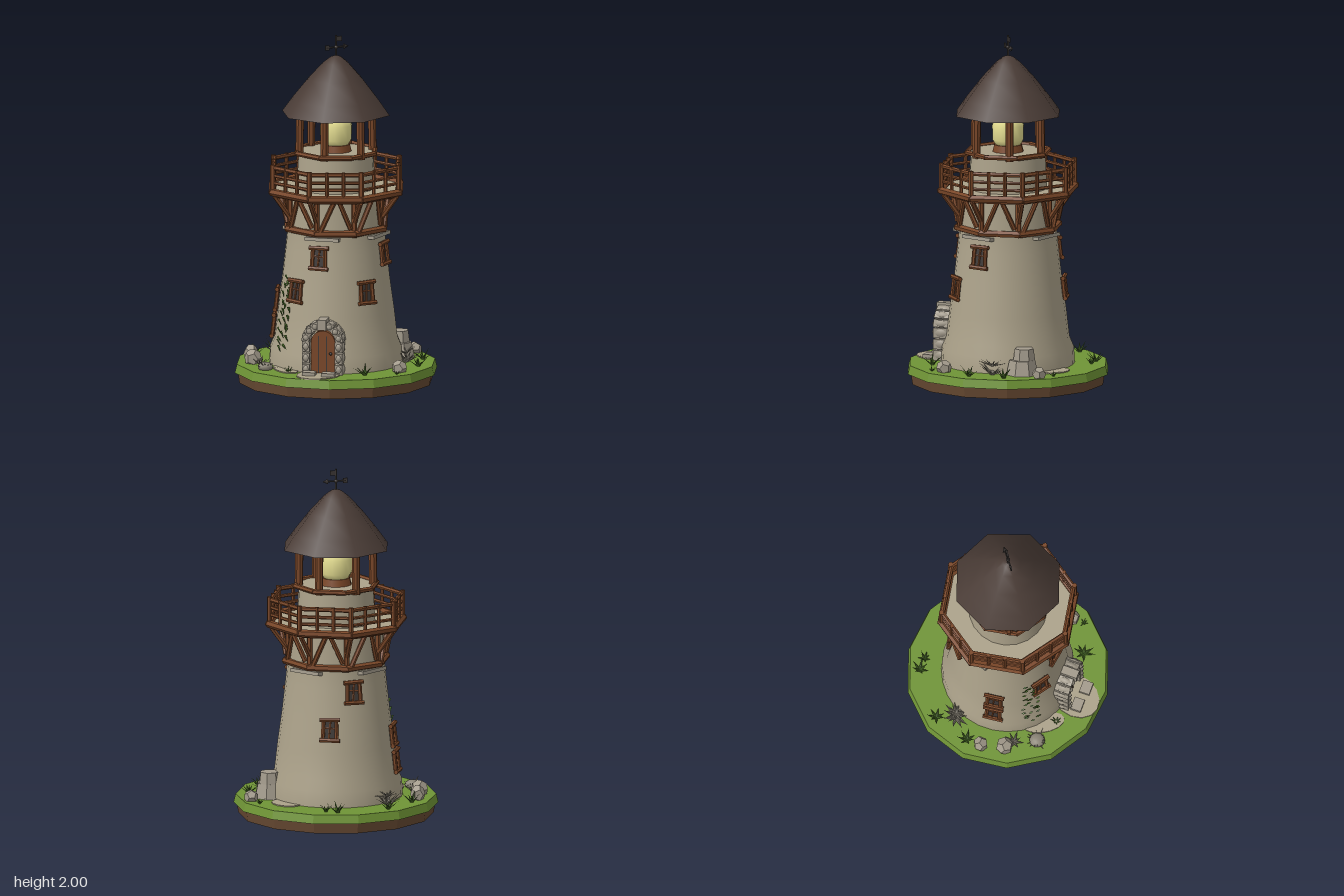
import * as THREE from 'three';

const mat = (name, color, extra = {}) => Object.assign(new THREE.MeshStandardMaterial({ color, ...extra }), { name });
const M = {
  stone: mat('plaster stone', 0xaca28a),
  rock: mat('rock', 0xa39b8c),
  wood: mat('timber', 0x7a4728),
  roof: mat('dark roof', 0x4a3c36),
  lamp: mat('lamp glow', 0xe6df92),
  earth: mat('earth', 0x684a32),
  grass: mat('grass', 0x6f9436),
  leaf: mat('leaf green', 0x4d7229, { side: THREE.DoubleSide }),
  dry: mat('dry plant', 0x8b8577, { side: THREE.DoubleSide }),
  metal: mat('dark metal', 0x3d3836),
};
const V = (x, y, z) => new THREE.Vector3(x, y, z);
const deg = THREE.MathUtils.degToRad;
// point at an angle (0 = front, 90 = +x), radius and height
const polar = (a, r, y) => V(Math.sin(deg(a)) * r, y, Math.cos(deg(a)) * r);

let seed = 7;
const rnd = () => (seed = (seed * 16807) % 2147483647) / 2147483647;

function add(parent, name, geo, material, pos = V(0, 0, 0)) {
  const m = new THREE.Mesh(geo, material);
  m.name = name;
  m.position.copy(pos);
  parent.add(m);
  return m;
}
function group(parent, name) {
  const g = new THREE.Group();
  g.name = name;
  parent.add(g);
  return g;
}
const flat = (geo) => { const g = geo.toNonIndexed(); g.computeVertexNormals(); return g; };
// log-like beam between two points
function beam(parent, name, a, b, r, material = M.wood, sides = 6) {
  const m = add(parent, name, flat(new THREE.CylinderGeometry(r, r, a.distanceTo(b), sides)), material, a.clone().lerp(b, 0.5));
  m.quaternion.setFromUnitVectors(V(0, 1, 0), b.clone().sub(a).normalize());
  return m;
}
// octagonal ring of beams
function ring(parent, name, r, y, t) {
  const g = group(parent, name);
  for (let i = 0; i < 8; i++) beam(g, name + 'Beam', polar(i * 45 - 1.5, r, y), polar(i * 45 + 46.5, r, y), t);
}
const lathe = (pts, n) => new THREE.LatheGeometry(pts.map(([x, y]) => new THREE.Vector2(x, y)), n);

const WALL = [[0.38, 0.1], [0.375, 0.2], [0.35, 0.26], [0.332, 0.42], [0.307, 0.6], [0.287, 0.78], [0.275, 0.9], [0.272, 1.1]];
function wallRadius(y) {
  const i = Math.max(1, WALL.findIndex((p) => p[1] >= y));
  const [a, b] = [WALL[i - 1], WALL[i]];
  return a[0] + (b[0] - a[0]) * (y - a[1]) / (b[1] - a[1]);
}
// group standing on the wall, its +z pointing outwards
function onWall(parent, name, a, y, r = wallRadius(y), tilt = -0.11) {
  const g = group(parent, name);
  g.rotation.order = 'YXZ';
  g.rotation.set(tilt, deg(a), 0);
  g.position.copy(polar(a, r, y));
  return g;
}

function buildWindow(parent, a, y) {
  const g = onWall(parent, 'window', a, y);
  add(g, 'windowPane', new THREE.BoxGeometry(0.08, 0.11, 0.008), M.metal, V(0, 0, 0.002));
  for (const s of [-1, 1]) {
    beam(g, 'windowJamb', V(s * 0.04, -0.062, 0.01), V(s * 0.036, 0.062, 0.01), 0.012);
    beam(g, 'windowLintel', V(-0.058, s * 0.058, 0.014), V(0.058, s * 0.06, 0.014), 0.013);
  }
  beam(g, 'windowBar', V(-0.006, -0.06, 0.008), V(0.004, 0.06, 0.008), 0.006);
  beam(g, 'windowBar', V(-0.04, 0.012, 0.008), V(0.04, 0.008, 0.008), 0.005);
}

function buildDoor(parent) {
  const g = onWall(parent, 'doorway', -33, 0.11, 0.345, 0);
  const s = new THREE.Shape();
  s.moveTo(-0.07, 0).lineTo(0.07, 0).lineTo(0.07, 0.18).absarc(0, 0.18, 0.07, 0, Math.PI).lineTo(-0.07, 0);
  add(g, 'door', new THREE.ExtrudeGeometry(s, { depth: 0.06, bevelEnabled: false, curveSegments: 8 }), M.wood, V(0, 0, -0.02));
  for (const x of [-0.025, 0.022]) add(g, 'doorGroove', new THREE.BoxGeometry(0.004, 0.22, 0.004), M.metal, V(x, 0.11, 0.041));
  add(g, 'doorHandle', new THREE.SphereGeometry(0.009, 8, 6), M.metal, V(0.046, 0.12, 0.045));
  const block = (x, y, rot, h) => {
    const b = add(g, 'archStone', new THREE.SphereGeometry(0.5, 8, 6), M.rock, V(x, y, 0.02));
    b.scale.set(0.06, h, 0.12);
    b.rotation.z = rot;
    const c = add(g, 'archStoneCore', new THREE.BoxGeometry(0.044, h * 0.8, 0.09), M.rock, b.position);
    c.rotation.z = rot;
  };
  for (const x of [-0.095, 0.095]) for (let i = 0; i < 3; i++) block(x, 0.03 + i * 0.065, 0, 0.072);
  for (let i = 0; i < 7; i++) {
    const t = Math.PI * (i + 0.5) / 7;
    block(Math.cos(t) * 0.097, 0.19 + Math.sin(t) * 0.097, t, 0.056);
  }
  add(g, 'keystone', new THREE.BoxGeometry(0.05, 0.06, 0.11), M.rock, V(0, 0.29, 0.025));
}

// tuft of pointed blades; lean 0 = upright, 90 = lying flat
function tuft(parent, name, x, z, n, len, lean, material, y = 0.108) {
  const g = group(parent, name);
  g.position.set(x, y, z);
  for (let i = 0; i < n; i++) {
    const l = len * (0.75 + 0.4 * rnd());
    const geo = new THREE.ConeGeometry(len * 0.14, l, 4).translate(0, l / 2, 0).scale(1, 1, 0.35);
    const b = add(g, name + 'Blade', geo, material);
    b.rotation.order = 'YXZ';
    b.rotation.set(deg(lean * (0.7 + 0.5 * rnd())), (i + 0.4 * rnd()) / n * Math.PI * 2, 0);
  }
  return g;
}
function rock(parent, x, z, r, h, y = 0.1) {
  const m = add(parent, 'boulder', new THREE.DodecahedronGeometry(1), M.rock, V(x, y + h * 0.45, z));
  m.scale.set(r, h * 0.6, r);
  m.rotation.y = x * 9;
}
// flat rounded patch on the ground
function patch(parent, x, z, rx, rz, rot) {
  const m = add(parent, 'bareGround', new THREE.CylinderGeometry(1, 1, 0.008, 14), M.stone, V(x, 0.112, z));
  m.scale.set(rx, 1, rz);
  m.rotation.y = deg(rot);
}

function buildGround(root) {
  const g = group(root, 'ground');
  add(g, 'earthBase', flat(new THREE.CylinderGeometry(0.565, 0.555, 0.065, 14)), M.earth, V(0, 0.0325, 0));
  add(g, 'grassDisc', flat(new THREE.CylinderGeometry(0.57, 0.582, 0.05, 14)), M.grass, V(0, 0.085, 0));
  patch(g, -0.24, 0.34, 0.15, 0.12, 35);
  patch(g, -0.36, 0.13, 0.06, 0.12, 0);
  patch(g, 0.33, -0.19, 0.08, 0.1, 20);
  for (const [x, z] of [[-0.3, 0.34], [-0.21, 0.41]]) {
    const p = add(g, 'pavingStone', new THREE.BoxGeometry(0.075, 0.025, 0.06), M.rock, V(x, 0.122, z));
    p.rotation.y = -0.55;
  }
  for (const [x, z, r, h] of [[0.51, -0.07, 0.042, 0.07], [0.22, 0.42, 0.045, 0.075], [-0.42, -0.25, 0.043, 0.09],
    [-0.46, -0.12, 0.05, 0.09]]) rock(g, x, z, r, h);
  // stepped stone block against the wall
  add(g, 'stoneBlock', flat(new THREE.CylinderGeometry(0.075, 0.095, 0.09, 7)), M.rock, V(0.385, 0.15, 0));
  add(g, 'stoneBlockTop', flat(new THREE.CylinderGeometry(0.055, 0.065, 0.08, 7)), M.rock, V(0.39, 0.22, -0.01));
  for (const [x, z, s] of [[-0.2, -0.46, 1], [0.1, -0.49, 1], [0.16, -0.45, 0.8], [-0.37, -0.32, 1], [0.48, 0.13, 1],
    [0.38, 0.31, 1], [0, 0.44, 1.1], [0.48, -0.16, 0.6], [-0.37, 0.2, 0.6], [0.18, 0.48, 0.5]])
    tuft(g, 'grassTuft', x, z, 7, 0.075 * s, 48, M.leaf);
  tuft(g, 'dryRosette', -0.46, 0.07, 14, 0.08, 65, M.dry);
  add(g, 'rosetteHeart', new THREE.SphereGeometry(0.045, 10, 6).scale(1, 0.6, 1), M.dry, V(-0.46, 0.125, 0.07));
  tuft(g, 'dryTuft', -0.44, -0.06, 8, 0.07, 50, M.dry);
  for (const [x, z] of [[0.36, 0.17], [-0.22, -0.35]]) {
    tuft(g, 'dryBush', x, z, 12, 0.1, 55, M.dry);
    tuft(g, 'dryBush', x, z, 9, 0.075, 75, M.dry, 0.16);
  }
}

function buildTower(root) {
  const g = group(root, 'tower');
  add(g, 'towerWall', lathe(WALL, 28), M.stone);
  for (const [a, y] of [[45, 0.76], [-41, 0.76], [11, 0.56], [-67, 0.56], [161, 0.55], [187, 0.76], [-116, 0.47], [-116, 0.32]])
    buildWindow(g, a, y);
  buildDoor(g);
  for (const a of [-38, 40, 130, 215]) {
    const l = onWall(g, 'ledge', a, 0.868);
    add(l, 'ledgeStone', new THREE.BoxGeometry(0.2, 0.02, 0.04), M.rock);
  }
  // climbing vine beside the door
  for (let i = 0; i < 26; i++) {
    const y = 0.22 + i * 0.016;
    const v = onWall(g, 'vineLeaf', -80 + 7 * Math.sin(i * 1.9), y, wallRadius(y) + 0.012, 0.3);
    const leaf = add(v, 'vineLeafBlade', new THREE.ConeGeometry(0.014, 0.045, 4).scale(1, 1, 0.4), M.leaf);
    leaf.rotation.z = Math.PI + 1.6 * (rnd() - 0.5);
  }
}

function buildGallery(root) {
  const g = group(root, 'gallery');
  ring(g, 'lowerRing', 0.298, 0.9, 0.02);
  add(g, 'deck', flat(new THREE.CylinderGeometry(0.385, 0.375, 0.025, 8)), M.wood, V(0, 1.1, 0));
  add(g, 'deckFloor', new THREE.CylinderGeometry(0.38, 0.38, 0.008, 8), M.stone, V(0, 1.116, 0));
  ring(g, 'deckEdge', 0.393, 1.117, 0.022);
  ring(g, 'lowRail', 0.385, 1.17, 0.01);
  ring(g, 'midRail', 0.385, 1.212, 0.01);
  ring(g, 'topRail', 0.385, 1.258, 0.013);
  for (let i = 0; i < 8; i++) {
    const a = i * 45;
    beam(g, 'railPost', polar(a, 0.387, 1.11), polar(a, 0.387, 1.275), 0.015);
    for (const t of [15, 30]) {
      // straight octagon side, so the radius dips between corners
      const r = 0.385 * Math.cos(deg(22.5)) / Math.cos(deg(t - 22.5));
      beam(g, 'railPost', polar(a + t, r, 1.11), polar(a + t, r, 1.272), 0.011);
    }
    // supports under the deck
    beam(g, 'wallPost', polar(a, 0.28, 0.9), polar(a, 0.28, 1.1), 0.016);
    beam(g, 'bracket', polar(a, 0.285, 0.97), polar(a, 0.375, 1.095), 0.015);
    beam(g, 'brace', polar(a + 5, 0.288, 0.91), polar(a + 22, 0.3, 1.1), 0.014);
    beam(g, 'brace', polar(a + 40, 0.288, 0.93), polar(a + 26, 0.32, 1.1), 0.014);
  }
}

function buildLantern(root) {
  const g = group(root, 'lantern');
  add(g, 'lanternDrum', new THREE.CylinderGeometry(0.212, 0.225, 0.22, 20), M.stone, V(0, 1.22, 0));
  ring(g, 'lanternRing', 0.24, 1.33, 0.015);
  for (let i = 0; i < 6; i++) beam(g, 'roofPost', polar(20 + i * 60, 0.212, 1.31), polar(20 + i * 60, 0.208, 1.59), 0.024, M.wood, 8);
  add(g, 'lampStand', new THREE.CylinderGeometry(0.08, 0.09, 0.04, 12), M.wood, V(0, 1.35, 0));
  add(g, 'lamp', lathe([[0, 1.36], [0.07, 1.365], [0.09, 1.4], [0.092, 1.48], [0.07, 1.525], [0, 1.535]], 14), M.lamp);
  const roof = group(root, 'roof');
  roof.rotation.y = deg(9);
  add(roof, 'roofUnderside', lathe([[0, 1.6], [0.315, 1.548]], 8), M.roof);
  add(roof, 'roofCone', lathe([[0.315, 1.548], [0.255, 1.63], [0.16, 1.748], [0.075, 1.84], [0.03, 1.875], [0, 1.885]], 8), M.roof);
}

function buildVane(root) {
  const g = group(root, 'weatherVane');
  g.rotation.y = deg(5);
  beam(g, 'vanePole', V(0, 1.86, 0), V(0, 2, 0), 0.007, M.metal);
  beam(g, 'vaneArm', V(-0.065, 1.93, 0), V(0.06, 1.93, 0), 0.005, M.metal);
  const tip = add(g, 'vaneTip', new THREE.ConeGeometry(0.016, 0.03, 4), M.metal, V(0.065, 1.93, 0));
  tip.rotation.z = -Math.PI / 2;
  add(g, 'vaneTail', new THREE.BoxGeometry(0.025, 0.028, 0.008), M.metal, V(-0.056, 1.93, 0));
  add(g, 'vaneFlag', new THREE.BoxGeometry(0.04, 0.028, 0.008), M.metal, V(0.016, 1.978, 0));
  add(g, 'vaneHub', new THREE.SphereGeometry(0.012, 8, 6), M.metal, V(0, 1.93, 0));
}

export function createModel() {
  seed = 7;
  const root = new THREE.Group();
  root.name = 'lighthouse';
  [buildGround, buildTower, buildGallery, buildLantern, buildVane].forEach((build) => build(root));
  return root;
}
